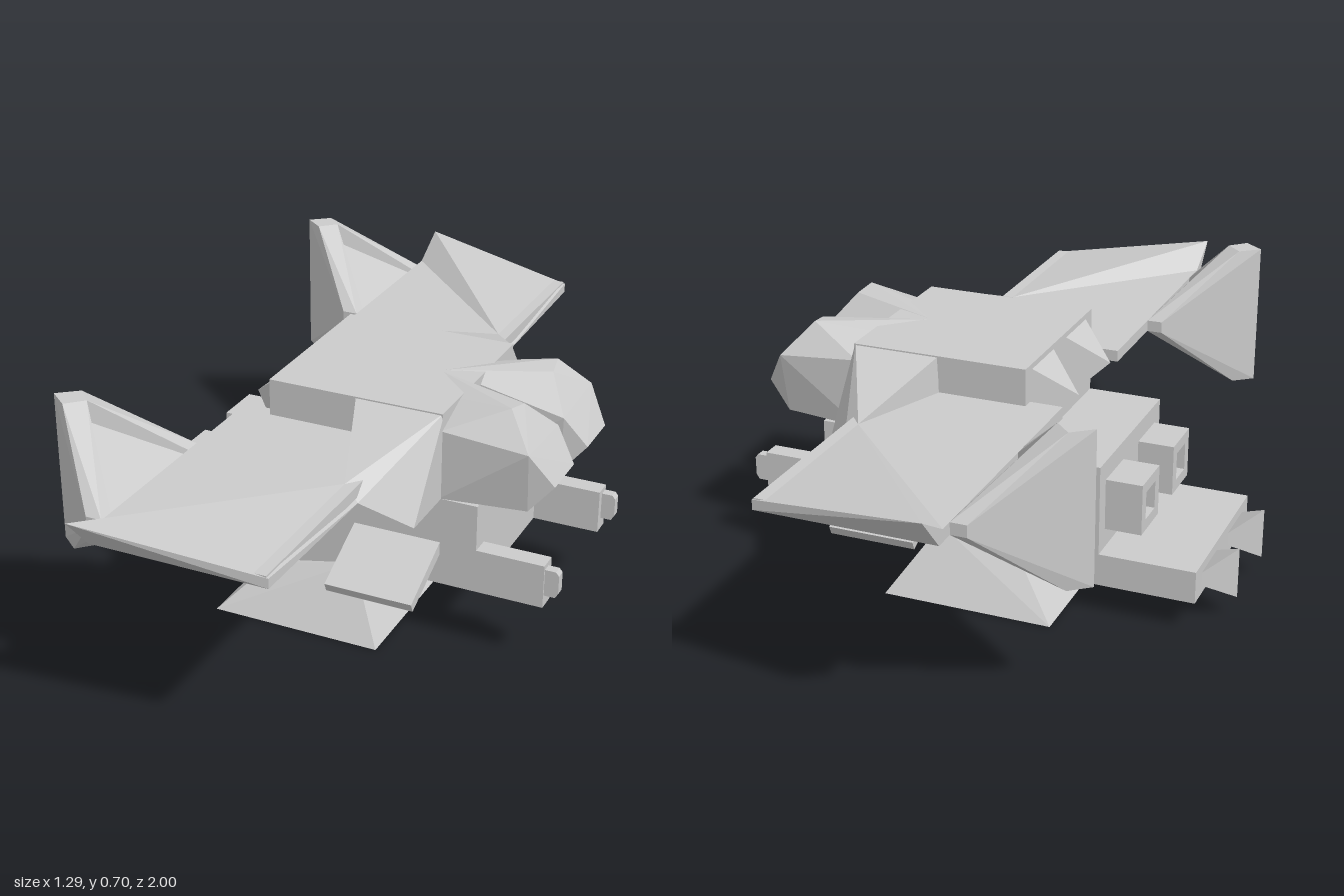
import * as THREE from 'three';
import { ConvexGeometry } from 'three/addons/geometries/ConvexGeometry.js';

const material = new THREE.MeshStandardMaterial({ color: 0xcccccc, flatShading: true });

function mesh(name, geometry) {
  const m = new THREE.Mesh(geometry, material);
  m.name = name;
  return m;
}

// Box given by its limits on each axis
function box(name, x0, x1, y0, y1, z0, z1) {
  const g = new THREE.BoxGeometry(x1 - x0, y1 - y0, z1 - z0);
  return mesh(name, g.translate((x0 + x1) / 2, (y0 + y1) / 2, (z0 + z1) / 2));
}

// Faceted solid around corner points; s mirrors it across z
function hull(name, points, s = 1) {
  return mesh(name, new ConvexGeometry(points.map(([x, y, z]) => new THREE.Vector3(x, y, z * s))));
}

// Side profile in x, y pushed through the full body width
function slab(name, profile, z0, z1) {
  const shape = new THREE.Shape(profile.map(([x, y]) => new THREE.Vector2(x, y)));
  const g = new THREE.ExtrudeGeometry(shape, { depth: z1 - z0, bevelEnabled: false });
  return mesh(name, g.translate(0, 0, z0));
}

// Square exhaust frame with a recessed opening facing the rear
function engine(s) {
  const shape = new THREE.Shape([[-0.065, -0.067], [0.065, -0.067], [0.065, 0.067], [-0.065, 0.067]]
    .map(p => new THREE.Vector2(...p)));
  shape.holes.push(new THREE.Path([[-0.035, -0.037], [-0.035, 0.037], [0.035, 0.037], [0.035, -0.037]]
    .map(p => new THREE.Vector2(...p))));
  const g = new THREE.ExtrudeGeometry(shape, { depth: 0.095, bevelEnabled: false });
  return mesh('engine', g.rotateY(-Math.PI / 2).translate(-0.32, 0.283, 0.123 * s));
}

// Triangular plate of a tail fin, from its upright edge to its point
function finPlate(s, outward) {
  const points = [];
  for (const t of [0, 0.04]) {
    const z = d => 0.655 + outward * d;
    points.push([-0.46 + t, 0.7, z(0)], [-0.46 + t, 0.32, z(0)],
      [-0.41 + t, 0.7, z(0.04 - t)], [-0.41 + t, 0.32, z(0.04 - t)],
      [-0.25 + t, 0.53, z(0.21)], [-0.25 + t, 0.5, z(0.21)],
      [-0.21, 0.53, z(0.21 - t)], [-0.21, 0.5, z(0.21 - t)]);
  }
  return hull('tailFinPlate', points, s);
}

// Everything that exists once per side
function side(s) {
  const g = new THREE.Group();
  g.name = s > 0 ? 'frontSide' : 'backSide';

  // Faceted cockpit
  g.add(hull('cockpit', [
    [0.33, 0.4, 0.005], [0.33, 0.4, 0.23], [0.33, 0.58, 0.23], [0.33, 0.62, 0.12], [0.24, 0.625, 0.005],
    [0.24, 0.45, 0.005], [0.48, 0.64, 0.16], [0.49, 0.63, 0.1], [0.55, 0.56, 0.225], [0.55, 0.55, 0.02],
    [0.545, 0.4, 0.2], [0.545, 0.4, 0.03], [0.605, 0.47, 0.05], [0.605, 0.47, 0.185],
  ], s));

  // Shoulder tapering out to the wing
  g.add(hull('wingShoulder', [
    [0.105, 0.4, 0.22], [0.105, 0.625, 0.22], [0.335, 0.4, 0.22], [0.335, 0.625, 0.22],
    [0.335, 0.4, 0.39], [0.105, 0.4, 0.25], [0.2, 0.53, 0.48], [0.235, 0.49, 0.485],
  ], s));

  // Wing slab with a raised outer blade
  const z = [0.2 * s, 0.92 * s].sort((a, b) => a - b);
  g.add(box('wing', -0.21, 0.23, 0.5, 0.53, z[0], z[1]));
  g.add(hull('wingBlade', [
    [-0.21, 0.59, 1], [-0.21, 0.53, 0.9], [-0.21, 0.5, 0.92], [0.235, 0.5, 0.92],
    [0.235, 0.525, 0.92], [0.2, 0.53, 0.48], [0.235, 0.49, 0.48],
  ], s));

  // Tail fin: two plates in a V around a sunken core
  g.add(finPlate(s, 1), finPlate(s, -1));
  g.add(hull('tailFinCore', [
    [-0.4, 0.67, 0.655], [-0.4, 0.35, 0.655], [-0.21, 0.515, 0.48], [-0.21, 0.515, 0.83],
  ], s));

  // Slanted side panel
  g.add(hull('sidePanel', [0.105, 0.335].flatMap(x => [
    [x, 0.28, 0.21], [x, 0.255, 0.21], [x, 0.28, 0.23], [x, 0.195, 0.4], [x, 0.172, 0.39],
  ]), s));

  // Gun boom and muzzle
  const b = [0.18 * s, 0.23 * s].sort((a, c) => a - c);
  g.add(box('gunBoom', 0.42, 0.605, 0.165, 0.28, b[0], b[1]));
  g.add(hull('muzzle', [0.2, 0.225].flatMap(w => [
    [0.6, 0.197, w], [0.6, 0.268, w], [0.633, 0.197, w], [0.633, 0.268, w], [0.641, 0.21, w], [0.641, 0.258, w],
  ]), s));

  // Rear exhausts, spikes and hull points
  g.add(engine(s));
  g.add(hull('tailSpike', [
    [-0.57, 0.105, 0.05], [-0.57, 0.14, 0.05], [-0.57, 0.105, 0.18], [-0.57, 0.14, 0.18],
    [-0.645, 0.055, 0.115], [-0.645, 0.19, 0.115],
  ], s));
  g.add(hull('rearPoint', [
    [-0.12, 0.44, 0.04], [-0.12, 0.44, 0.19], [-0.12, 0.615, 0.04], [-0.12, 0.615, 0.19], [-0.22, 0.53, 0.115],
  ], s));
  return g;
}

export function createModel() {
  const model = new THREE.Group();
  model.name = 'gunship';

  // Stepped body with the low tail
  model.add(slab('body', [
    [-0.57, 0.08], [0.105, 0.08], [0.105, 0.165], [0.43, 0.165],
    [0.43, 0.4], [-0.32, 0.4], [-0.32, 0.165], [-0.57, 0.165],
  ], -0.23, 0.23));
  model.add(box('upperHull', -0.125, 0.335, 0.4, 0.625, -0.23, 0.23));

  // Flared base
  model.add(hull('base', [-1, 1].flatMap(s => [
    [-0.235, 0, 0.34 * s], [0.215, 0, 0.34 * s], [0.105, 0.165, 0.23 * s], [-0.12, 0.118, 0.25 * s],
  ])));

  model.add(side(1), side(-1));
  return model;
}
